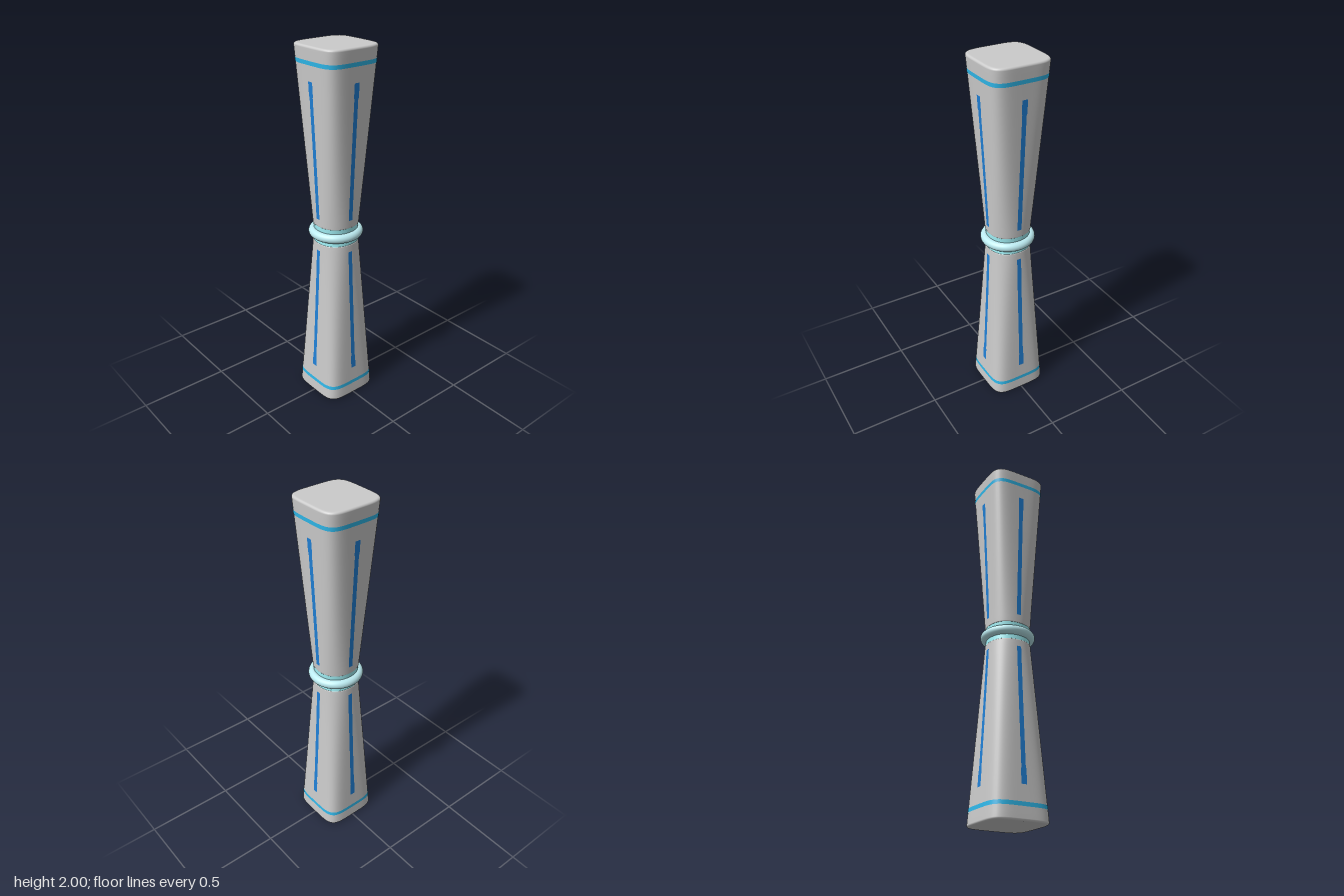
import * as THREE from 'three';

const SEG = 96;
const mat = (color) => new THREE.MeshStandardMaterial({ color });
const WHITE = mat(0xfafafc), BLUE = mat(0x2080d6), CYAN = mat(0x30b8ea), PALE = mat(0xa2f2f8), RING = mat(0xbdecf2);
BLUE.side = CYAN.side = PALE.side = THREE.DoubleSide;

// Flare of the body: 0 at the waist, 1 at either end
const flare = (y) => Math.abs(y - 1);
const halfWidth = (y) => 0.117 + 0.051 * Math.pow(flare(y), 1.15);
const power = (y) => 2.1 + 2.9 * flare(y);

// Point on a rounded-square cross-section
function section(a, r, n) {
  const c = Math.cos(a), s = Math.sin(a);
  const k = r / Math.pow(Math.pow(Math.abs(c), n) + Math.pow(Math.abs(s), n), 1 / n);
  return [c * k, s * k];
}

// Smooth skin through rings [y, half width], bottom to top
function loft(rings) {
  const pos = [], idx = [];
  for (const [y, r] of rings) {
    for (let i = 0; i < SEG; i++) {
      const [x, z] = section((i / SEG) * Math.PI * 2, r, power(y));
      pos.push(x, y, z);
    }
  }
  for (let j = 0; j < rings.length - 1; j++) {
    for (let i = 0; i < SEG; i++) {
      const a = j * SEG + i, b = j * SEG + ((i + 1) % SEG);
      idx.push(a, a + SEG, b, b, a + SEG, b + SEG);
    }
  }
  const g = new THREE.BufferGeometry();
  g.setAttribute('position', new THREE.Float32BufferAttribute(pos, 3));
  g.setIndex(idx);
  g.computeVertexNormals();
  return g;
}

// Half of the body: rounded edges of radius r0 and r1, flat closed ends
function bodyHalf(y0, y1, r0, r1) {
  const rings = [], ARC = 6, N = 32;
  const edge = (y, dir, r, i) => {
    const a = (i / ARC) * Math.PI / 2, h = y + dir * r * (1 - Math.cos(a));
    rings.push([h, halfWidth(h) - r * (1 - Math.sin(a))]);
  };
  rings.push([y0, 0], [y0, halfWidth(y0) - r0 - 0.004]);
  for (let i = 0; i <= ARC; i++) edge(y0, 1, r0, i);
  for (let i = 1; i < N; i++) {
    const y = y0 + r0 + (i / N) * (y1 - y0 - r0 - r1);
    rings.push([y, halfWidth(y)]);
  }
  for (let i = ARC; i >= 0; i--) edge(y1, -1, r1, i);
  rings.push([y1, halfWidth(y1) - r1 - 0.004], [y1, 0]);
  return loft(rings);
}

// Thin band following the body between two heights
function band(y0, y1, out) {
  return loft([0, 0.25, 0.5, 0.75, 1].map((t) => {
    const y = y0 + (y1 - y0) * t;
    return [y, halfWidth(y) + out];
  }));
}

// Thin strip following the flare of the front face
function strip(y0, y1, width, out) {
  const g = new THREE.PlaneGeometry(width, y1 - y0, 2, 24);
  const p = g.attributes.position;
  for (let i = 0; i < p.count; i++) {
    const y = p.getY(i) + (y0 + y1) / 2;
    p.setXYZ(i, p.getX(i), y, halfWidth(y) + out);
  }
  g.computeVertexNormals();
  return g;
}

export function createModel() {
  const model = new THREE.Group();
  const add = (name, geometry, material, parent = model) => {
    const m = new THREE.Mesh(geometry, material);
    m.name = name;
    parent.add(m);
    return m;
  };

  // Two flared halves meeting at the waist
  add('lowerBody', bodyHalf(0, 0.952, 0.012, 0.006), WHITE);
  add('upperBody', bodyHalf(1.048, 2, 0.006, 0.012), WHITE);

  // Pale collar and ring at the waist
  add('waistCollar', band(0.94, 1.06, -0.002), PALE);
  const ring = add('waistRing', new THREE.TorusGeometry(0.123, 0.025, 20, 80), RING);
  ring.rotation.x = Math.PI / 2;
  ring.position.y = 1;

  // Trim near both ends
  add('lowerTrim', band(0.07, 0.091, 0.001), CYAN);
  add('upperTrim', band(1.909, 1.93, 0.001), CYAN);

  // Strips on all four faces, each with a wider outer tip
  for (let i = 0; i < 4; i++) {
    const face = new THREE.Group();
    face.name = 'faceStrips' + (i + 1);
    face.rotation.y = (i * Math.PI) / 2;
    add('upperStrip', strip(1.095, 1.76, 0.025, 0.0015), BLUE, face);
    add('upperStripTip', strip(1.755, 1.83, 0.031, 0.002), BLUE, face);
    add('lowerStrip', strip(0.25, 0.91, 0.025, 0.0015), BLUE, face);
    add('lowerStripTip', strip(0.175, 0.255, 0.031, 0.002), BLUE, face);
    model.add(face);
  }
  return model;
}
